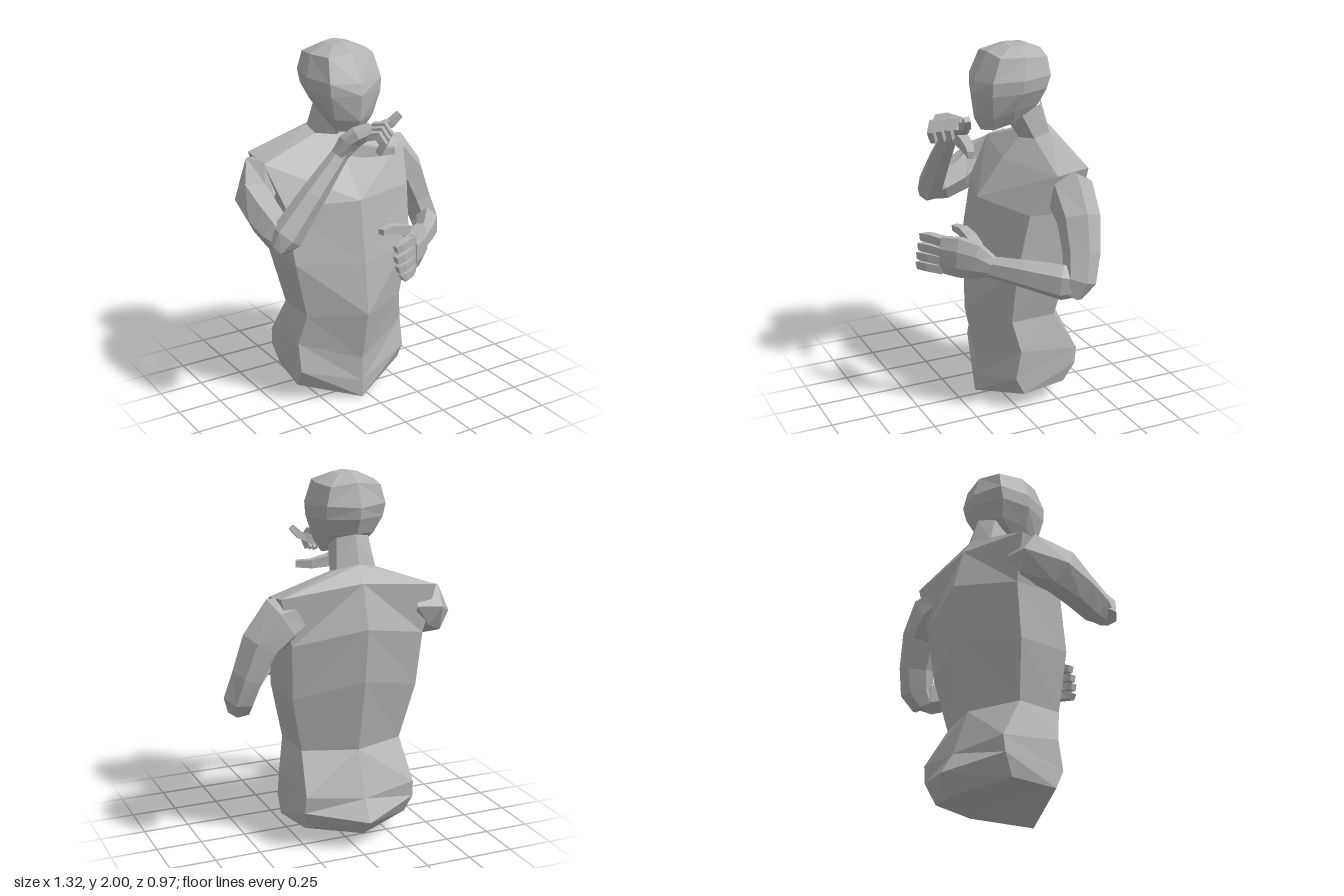
import * as THREE from 'three';

const CX = -0.045; // the body's own centre line

// Skins a list of closed rings (arrays of Vector3); each end can be capped.
function loft(rings, capStart = true, capEnd = true) {
  const pos = [];
  const tri = (...vs) => vs.forEach((v) => pos.push(v.x, v.y, v.z));
  const n = rings[0].length;
  for (let i = 0; i < rings.length - 1; i++) {
    for (let j = 0; j < n; j++) {
      const k = (j + 1) % n, a = rings[i], b = rings[i + 1];
      // The diagonals are mirrored from one half of the ring to the other
      if (j < n / 2) {
        tri(a[j], a[k], b[k]);
        tri(a[j], b[k], b[j]);
      } else {
        tri(a[j], a[k], b[j]);
        tri(a[k], b[k], b[j]);
      }
    }
  }
  const cap = (ring, end) => {
    const c = ring.reduce((s, v) => s.add(v), new THREE.Vector3()).divideScalar(n);
    ring.forEach((v, j) => {
      const w = ring[(j + 1) % n];
      if (end) tri(c, v, w); else tri(c, w, v);
    });
  };
  if (capStart) cap(rings[0], false);
  if (capEnd) cap(rings[rings.length - 1], true);
  const g = new THREE.BufferGeometry();
  g.setAttribute('position', new THREE.Float32BufferAttribute(pos, 3));
  g.computeVertexNormals();
  return g;
}

// Mirrors a half ring, given as [halfWidth, y, z] from front centre to back centre.
function mirrored(half, cx = CX) {
  const p = (x, y, z) => new THREE.Vector3(cx + x, y, z);
  const left = half.map(([x, y, z]) => p(x, y, z));
  const right = half.slice(1, -1).reverse().map(([x, y, z]) => p(-x, y, z));
  return left.concat(right);
}

// Sections [x, y, z, ru, rv] along a path; ru is measured along ref, rv across it.
function limb(sections, ref, { sides = 6, turn = 0, start = false, end = true } = {}) {
  const pts = sections.map((s) => new THREE.Vector3(s[0], s[1], s[2]));
  const R = new THREE.Vector3(...ref);
  return loft(sections.map((s, i) => {
    const t = new THREE.Vector3();
    if (i > 0) t.add(pts[i].clone().sub(pts[i - 1]).normalize());
    if (i < pts.length - 1) t.add(pts[i + 1].clone().sub(pts[i]).normalize());
    t.normalize();
    const u = R.clone().addScaledVector(t, -R.dot(t)).normalize();
    const v = t.clone().cross(u);
    return Array.from({ length: sides }, (_, k) => {
      const a = ((k + turn) / sides) * Math.PI * 2;
      return pts[i].clone().addScaledVector(u, s[3] * Math.cos(a)).addScaledVector(v, s[4] * Math.sin(a));
    });
  }), start, end);
}

export function createModel() {
  const model = new THREE.Group();
  model.name = 'mannequinBust';
  const clay = new THREE.MeshStandardMaterial({ color: 0xb4b4b4, flatShading: true });
  clay.name = 'clay grey';
  const add = (name, geometry, parent = model) => {
    const m = new THREE.Mesh(geometry, clay);
    m.name = name;
    parent.add(m);
  };
  const upperArm = { turn: 0.5 };
  const forearm = { start: true, end: false };
  const palm = { sides: 8, turn: 0.5 };
  const finger = { sides: 4, turn: 0.5 };

  // Torso and neck: pelvis, waist, chest, shoulders, up to the jaw
  add('torso', loft([
    [[0, 0, 0.13], [0.335, 0.1, -0.02], [0.3, 0.11, -0.28], [0, 0.07, -0.39]],
    [[0, 0.1, 0.13], [0.335, 0.2, 0.03], [0.32, 0.22, -0.34], [0, 0.165, -0.48]],
    [[0, 0.24, 0.13], [0.335, 0.36, 0], [0.315, 0.31, -0.35], [0, 0.28, -0.41]],
    [[0, 0.53, 0.19], [0.3, 0.53, 0.04], [0.29, 0.53, -0.22], [0, 0.53, -0.32]],
    [[0, 0.82, 0.16], [0.365, 0.85, 0.04], [0.36, 0.84, -0.27], [0, 0.93, -0.4]],
    [[0, 1.17, 0.11], [0.385, 1.16, -0.02], [0.375, 1.14, -0.31], [0, 1.22, -0.43]],
    [[0, 1.37, -0.04], [0.44, 1.375, -0.15], [0.44, 1.4, -0.33], [0, 1.45, -0.365]],
    [[0, 1.475, -0.14], [0.11, 1.49, -0.18], [0.11, 1.515, -0.27], [0, 1.54, -0.31]],
    [[0, 1.58, -0.07], [0.09, 1.63, -0.11], [0.09, 1.67, -0.22], [0, 1.69, -0.265]],
  ].map((r) => mirrored(r)), true, false));

  // Head: jaw, cheeks, temples, crown
  add('head', loft([
    [[0, 1.54, 0.08], [0.075, 1.55, 0.04], [0.09, 1.58, -0.07], [0.08, 1.63, -0.17], [0, 1.64, -0.22]],
    [[0, 1.61, 0.12], [0.115, 1.62, 0.06], [0.145, 1.66, -0.05], [0.12, 1.68, -0.2], [0, 1.69, -0.26]],
    [[0, 1.75, 0.138], [0.15, 1.75, 0.08], [0.195, 1.76, -0.07], [0.16, 1.77, -0.23], [0, 1.77, -0.3]],
    [[0, 1.81, 0.12], [0.155, 1.82, 0.08], [0.203, 1.83, -0.08], [0.165, 1.84, -0.25], [0, 1.83, -0.31]],
    [[0, 1.96, 0.045], [0.135, 1.945, 0.03], [0.17, 1.945, -0.1], [0.14, 1.935, -0.24], [0, 1.955, -0.27]],
    [[0, 2, -0.06], [0.06, 1.99, -0.06], [0.07, 1.99, -0.1], [0.06, 1.99, -0.16], [0, 2, -0.16]],
  ].map((r) => mirrored(r, CX - 0.01))));

  // Left arm: hangs down, forearm folded across the belly
  const leftArm = new THREE.Group();
  leftArm.name = 'leftArm';
  model.add(leftArm);
  add('leftUpperArm', limb([
    [0.28, 1.3, -0.24, 0.1, 0.1], [0.365, 1.27, -0.24, 0.125, 0.14], [0.475, 1.155, -0.235, 0.115, 0.11],
    [0.54, 0.99, -0.22, 0.1, 0.09], [0.575, 0.865, -0.19, 0.09, 0.09], [0.565, 0.785, -0.15, 0.06, 0.065],
  ], [0, 0, 1], upperArm), leftArm);
  add('leftForearm', limb([
    [0.6, 0.85, -0.19, 0.07, 0.05], [0.545, 0.85, -0.11, 0.1, 0.07],
    [0.42, 0.88, 0.05, 0.08, 0.055], [0.29, 0.9, 0.2, 0.06, 0.038],
  ], [0, 1, 0], forearm), leftArm);
  add('leftPalm', limb([
    [0.31, 0.9, 0.18, 0.06, 0.038], [0.25, 0.92, 0.24, 0.105, 0.05],
    [0.18, 0.93, 0.31, 0.118, 0.052], [0.1, 0.93, 0.38, 0.11, 0.036],
  ], [0, 1, 0], palm), leftArm);
  [0.85, 0.9, 0.95, 1.005].forEach((y, i) => {
    const reach = [0.025, 0.005, 0, 0.005][i], z = 0.01 * (1.5 - i);
    add('leftFinger', limb([
      [0.11, y, 0.375, 0.033, 0.034], [0.05, y + 0.005, 0.425 + z, 0.032, 0.032],
      [0, y, 0.45 + z, 0.03, 0.03], [-0.04 + reach, y - 0.01, 0.45 + z, 0.026, 0.026],
    ], [0, 1, 0], finger), leftArm);
  });
  add('leftThumb', limb([
    [0.21, 0.97, 0.225, 0.05, 0.04], [0.14, 1.01, 0.235, 0.04, 0.045],
    [0.06, 1.03, 0.24, 0.03, 0.038], [-0.01, 1.03, 0.26, 0.022, 0.026],
  ], [0, 1, 0], finger), leftArm);

  // Right arm: reaches forward, forearm raised to the chin
  const rightArm = new THREE.Group();
  rightArm.name = 'rightArm';
  model.add(rightArm);
  add('rightUpperArm', limb([
    [-0.37, 1.29, -0.24, 0.1, 0.1], [-0.465, 1.28, -0.235, 0.13, 0.125], [-0.555, 1.205, -0.13, 0.125, 0.105],
    [-0.56, 1.14, 0, 0.105, 0.1], [-0.555, 1.09, 0.12, 0.095, 0.09], [-0.55, 1.07, 0.18, 0.065, 0.065],
  ], [0, 1, 0], upperArm), rightArm);
  add('rightForearm', limb([
    [-0.59, 1.03, 0.17, 0.06, 0.05], [-0.54, 1.09, 0.185, 0.075, 0.09],
    [-0.38, 1.29, 0.19, 0.065, 0.07], [-0.22, 1.48, 0.19, 0.052, 0.045],
  ], [0, 0, 1], forearm), rightArm);
  add('rightPalm', limb([
    [-0.23, 1.47, 0.19, 0.052, 0.045], [-0.18, 1.53, 0.195, 0.09, 0.055],
    [-0.13, 1.57, 0.215, 0.11, 0.055], [-0.065, 1.6, 0.245, 0.1, 0.04],
  ], [-0.72, 0.1, 0.65], palm), rightArm);
  // Three curled fingers, index stretched upward, thumb under the chin
  for (let i = 0; i < 3; i++) {
    const x = -0.12 + 0.038 * i, y = 1.585 + 0.012 * i, z = 0.295 - 0.033 * i;
    add('rightFinger', limb([
      [x, y, z, 0.028, 0.03], [x + 0.035, y + 0.01, z + 0.045, 0.028, 0.03],
      [x + 0.055, y - 0.03, z + 0.065, 0.026, 0.028], [x + 0.04, y - 0.085, z + 0.045, 0.022, 0.024],
    ], [-0.72, 0, 0.65], finger), rightArm);
  }
  add('rightIndexFinger', limb([
    [-0.04, 1.58, 0.19, 0.035, 0.03], [0.02, 1.59, 0.2, 0.032, 0.03],
    [0.07, 1.61, 0.22, 0.028, 0.028], [0.115, 1.655, 0.235, 0.022, 0.022],
  ], [0, 0, 1], finger), rightArm);
  add('rightThumb', limb([
    [-0.16, 1.5, 0.18, 0.045, 0.045], [-0.08, 1.47, 0.165, 0.04, 0.045],
    [0.02, 1.455, 0.18, 0.032, 0.033], [0.1, 1.455, 0.21, 0.024, 0.026],
  ], [0, 0, 1], finger), rightArm);

  return model;
}
